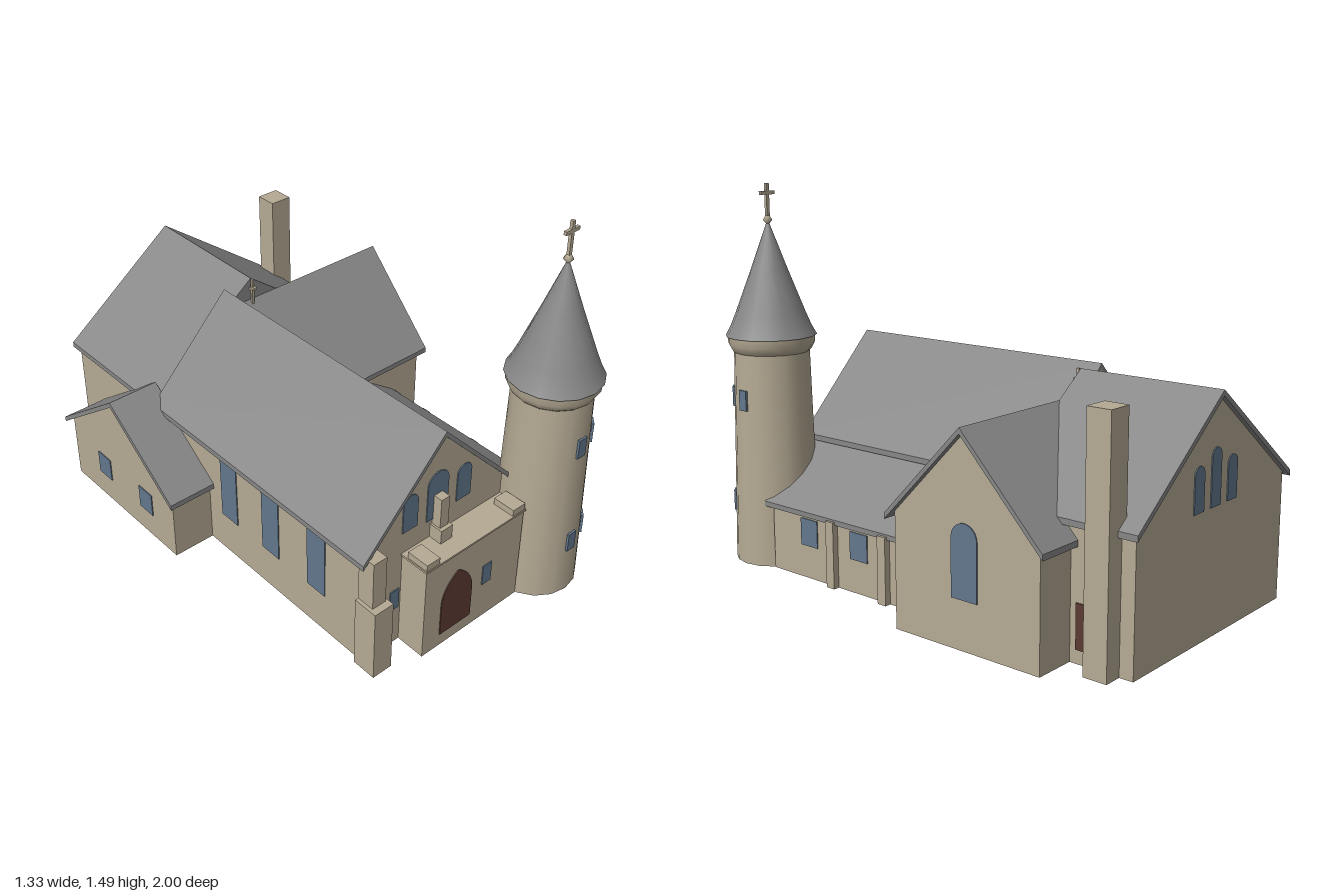
import * as THREE from 'three';

const mat = (name, color, side = THREE.FrontSide) => {
  const m = new THREE.MeshStandardMaterial({ color, side });
  m.name = name;
  return m;
};

export function createModel() {
  const model = new THREE.Group();
  model.name = 'church';
  const stone = mat('stone', 0xb5aa94);
  const slate = mat('slate', 0x878787);
  const glass = mat('glass', 0x62778c);
  const wood = mat('wood', 0x5c3a33);

  const add = (name, geo, material) => {
    const mesh = new THREE.Mesh(geo, material);
    mesh.name = name;
    model.add(mesh);
    return mesh;
  };
  // box given by its limits
  const box = (name, x0, x1, y0, y1, z0, z1, material = stone) =>
    add(name, new THREE.BoxGeometry(x1 - x0, y1 - y0, z1 - z0)
      .translate((x0 + x1) / 2, (y0 + y1) / 2, (z0 + z1) / 2), material);
  // outline extruded from a to b along z, or along x (outline then runs along -z)
  const prism = (name, points, a, b, material, alongX = false) => {
    const shape = points instanceof THREE.Shape
      ? points : new THREE.Shape(points.map(p => new THREE.Vector2(p[0], p[1])));
    const geo = new THREE.ExtrudeGeometry(shape, { depth: b - a, bevelEnabled: false, curveSegments: 10 });
    geo.translate(0, 0, a);
    if (alongX) geo.rotateY(Math.PI / 2);
    return add(name, geo, material);
  };
  // gabled block: solid walls with an overhanging roof slab
  const T = 0.022;
  const gabled = (name, o) => {
    const { c, ridge, eave, half, wall } = o;
    const slope = (ridge - eave) / half;
    const top = ridge - T + 0.002;
    prism(name + 'Walls', [[c - wall, 0], [c + wall, 0], [c + wall, top - slope * wall],
      [c, top], [c - wall, top - slope * wall]], o.w0, o.w1, stone, o.alongX);
    prism(name + 'Roof', [[c - half, eave - T], [c, ridge - T], [c + half, eave - T],
      [c + half, eave], [c, ridge], [c - half, eave]], o.r0, o.r1, slate, o.alongX);
  };

  gabled('nave', { c: -0.13, ridge: 0.865, eave: 0.488, half: 0.365, wall: 0.335, w0: -0.42, w1: 0.76, r0: -0.42, r1: 0.785 });
  gabled('chancel', { c: 0, ridge: 0.865, eave: 0.49, half: 0.497, wall: 0.475, w0: -0.98, w1: -0.43, r0: -1, r1: -0.42 });
  gabled('transept', { c: 0.42, ridge: 0.77, eave: 0.42, half: 0.34, wall: 0.313, w0: 0, w1: 0.635, r0: -0.05, r1: 0.66, alongX: true });
  gabled('leftWing', { c: 0.46, ridge: 0.553, eave: 0.28, half: 0.372, wall: 0.345, w0: -0.64, w1: -0.46, r0: -0.665, r1: -0.452, alongX: true });
  prism('chancelFrontGable', [[-0.46, 0.5], [0.46, 0.5], [0, 0.845]], -0.43, -0.422, slate);

  // side aisle with lean-to roof
  prism('aisleWalls', [[0.18, 0], [0.483, 0], [0.483, 0.26], [0.18, 0.465]], -0.2, 0.7, stone);
  prism('aisleRoof', [[0.19, 0.46], [0.497, 0.248], [0.497, 0.268], [0.19, 0.482]], -0.2, 0.735, slate);
  for (const z of [0.36, 0.09, -0.085]) box('aisleButtress', 0.47, 0.508, 0, 0.26, z - 0.02, z + 0.02);

  // windows and doors, lying on a wall and facing front, back, left or right
  const turn = { front: 0, right: Math.PI / 2, back: Math.PI, left: -Math.PI / 2 };
  const place = (mesh, facing, x, z) => {
    mesh.rotation.y = turn[facing];
    mesh.position.set(x, 0, z);
  };
  const rect = (w, y0, y1) => [[-w / 2, y0], [w / 2, y0], [w / 2, y1], [-w / 2, y1]];
  const arch = (w, y0, y1) => {
    const s = new THREE.Shape();
    s.moveTo(-w / 2, y0);
    s.lineTo(w / 2, y0);
    s.lineTo(w / 2, y1 - w / 2);
    s.absarc(0, y1 - w / 2, w / 2, 0, Math.PI, false);
    s.closePath();
    return s;
  };
  const pane = (name, shape, facing, x, z, material = glass) =>
    place(prism(name, shape, -0.002, 0.004, material), facing, x, z);

  for (const [x, w, y0, y1] of [[-0.26, 0.07, 0.5, 0.65], [-0.13, 0.1, 0.485, 0.685], [0, 0.07, 0.5, 0.65]])
    pane('frontGableWindow', arch(w, y0, y1), 'front', x, 0.76);
  for (const [x, y1] of [[-0.105, 0.625], [0.003, 0.67], [0.11, 0.625]])
    pane('backGableWindow', arch(0.062, 0.465, y1), 'back', x, -0.98);
  for (const z of [0.013, 0.258, 0.513]) pane('naveWindow', rect(0.095, 0.17, 0.44), 'left', -0.465, z);
  for (const z of [-0.587, -0.3]) pane('wingWindow', rect(0.085, 0.11, 0.21), 'left', -0.64, z);
  for (const z of [0.495, 0.228]) pane('aisleWindow', rect(0.09, 0.13, 0.237), 'right', 0.483, z);
  pane('transeptWindow', arch(0.112, 0.18, 0.445), 'right', 0.635, -0.42);
  pane('facadeWindow', rect(0.042, 0.165, 0.253), 'front', -0.32, 0.76);
  pane('porchWindow', rect(0.045, 0.165, 0.253), 'front', 0.023, 0.88);
  pane('sideDoor', rect(0.075, 0.05, 0.21), 'right', 0.475, -0.795, wood);

  // entrance porch
  box('porch', -0.29, 0.2, 0, 0.4, 0.74, 0.88);
  box('porchCornice', -0.295, 0.205, 0.4, 0.408, 0.74, 0.885);
  for (const x of [-0.26, 0.17]) box('porchCornerBlock', x - 0.031, x + 0.031, 0.4, 0.435, 0.79, 0.882);
  box('porchPedestal', -0.158, -0.102, 0.4, 0.465, 0.755, 0.815);
  box('porchPillar', -0.15, -0.11, 0.46, 0.59, 0.755, 0.8);
  const doorShape = new THREE.Shape();
  doorShape.moveTo(-0.077, 0.055);
  doorShape.lineTo(0.077, 0.055);
  doorShape.lineTo(0.077, 0.2);
  doorShape.quadraticCurveTo(0.07, 0.275, 0, 0.32);
  doorShape.quadraticCurveTo(-0.07, 0.275, -0.077, 0.2);
  doorShape.closePath();
  pane('mainDoor', doorShape, 'front', -0.13, 0.88, wood);

  // stepped corner buttress and chimney
  box('cornerButtressBase', -0.487, -0.402, 0, 0.3, 0.74, 0.84);
  box('cornerButtressTop', -0.473, -0.412, 0.3, 0.5, 0.74, 0.812);
  box('chimney', 0.45, 0.545, 0, 0.88, -0.927, -0.835);

  // round tower
  const tx = 0.36, tz = 0.822;
  const lathe = (name, profile, material) => {
    const geo = new THREE.LatheGeometry(profile.map(p => new THREE.Vector2(p[0], p[1])), 16);
    add(name, geo, material).position.set(tx, 0, tz);
  };
  lathe('towerBase', [[0, 0], [0.168, 0]], stone);
  lathe('towerShaft', [[0.168, 0], [0.148, 0.84]], stone);
  lathe('towerCollar', [[0.148, 0.84], [0.156, 0.848], [0.169, 0.872], [0.17, 0.905]], stone);
  lathe('spireSoffit', [[0.14, 0.903], [0.178, 0.903]], slate);
  lathe('spire', [[0.178, 0.903], [0.158, 0.94], [0.137, 0.99], [0.07, 1.165], [0.004, 1.345]], slate);
  lathe('finial', [[0.004, 1.335], [0.018, 1.352], [0.008, 1.368], [0, 1.372]], stone);
  box('spireCrossShaft', tx - 0.007, tx + 0.007, 1.36, 1.493, tz - 0.006, tz + 0.006);
  box('spireCrossArm', tx - 0.034, tx + 0.034, 1.449, 1.463, tz - 0.006, tz + 0.006);
  for (const [y, count] of [[0.66, 3], [0.235, 2]]) {
    for (let i = 0; i < count; i++) {
      const a = i * Math.PI / 4;
      const r = 0.168 - 0.0238 * y + 0.001;
      const w = add('towerWindow', new THREE.BoxGeometry(0.04, 0.08, 0.009), glass);
      w.position.set(tx + r * Math.sin(a), y, tz + r * Math.cos(a));
      w.rotation.y = a;
    }
  }

  // small cross above the crossing
  box('ridgeCrossShaft', -0.005, 0.005, 0.74, 0.865, -0.415, -0.405);
  box('ridgeCrossArm', -0.012, 0.012, 0.82, 0.83, -0.415, -0.395);

  return model;
}
